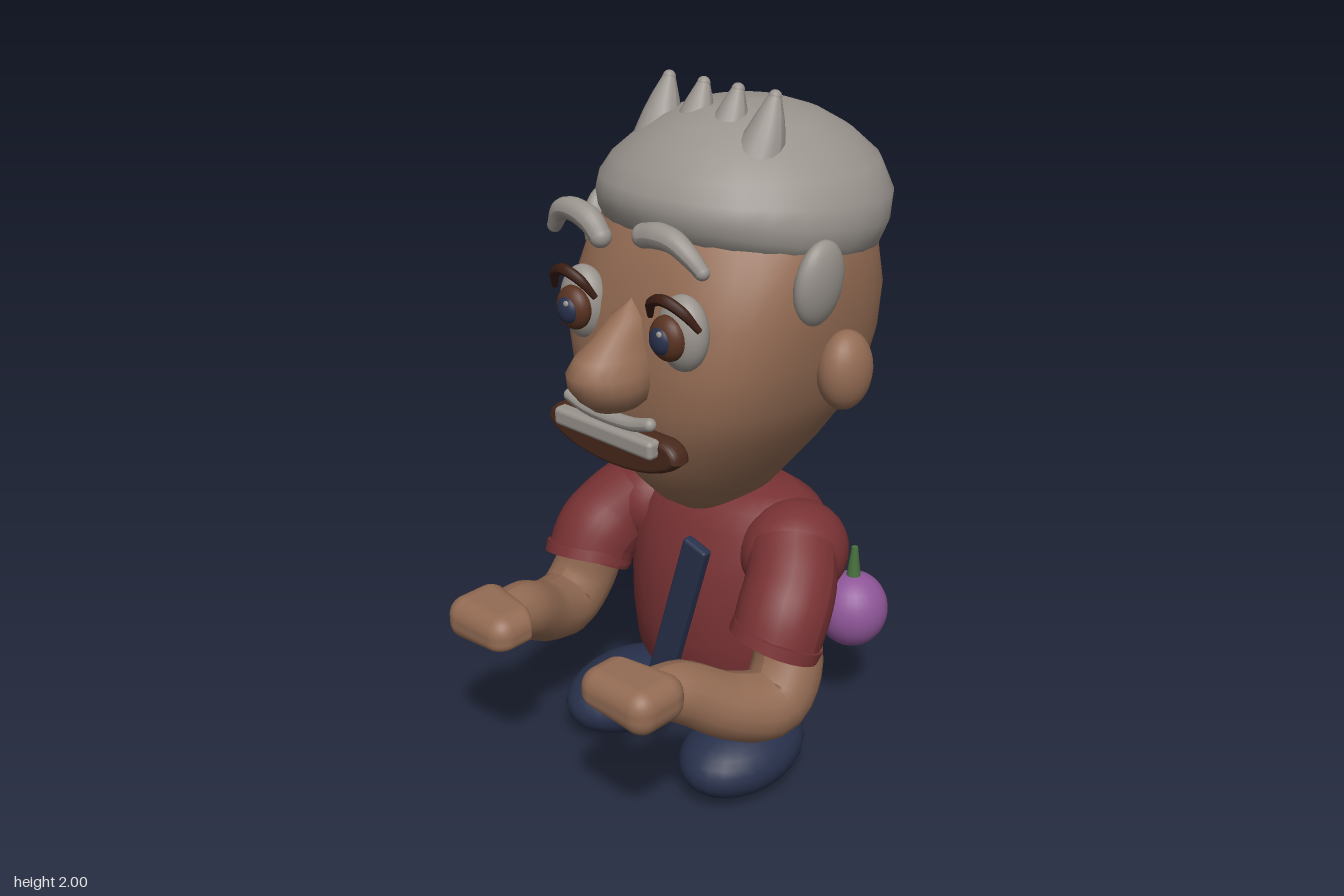
import * as THREE from 'three';
import { RoundedBoxGeometry } from 'three/addons/geometries/RoundedBoxGeometry.js';

const V = (x, y, z) => new THREE.Vector3(x, y, z);
const power = (v, e) => Math.sign(v) * Math.abs(v) ** e;

function material(name, color) {
  const m = new THREE.MeshStandardMaterial({ color });
  m.name = name;
  return m;
}

// Closed body from oval sections: [y, half width, front z, back z, tilt, squareness]
function loft(rows, seg = 28) {
  const pos = [], idx = [];
  rows.forEach(([y, w, zf, zb, tilt = 0, n = 2], r) => {
    for (let i = 0; i < seg; i++) {
      const a = (i / seg) * Math.PI * 2;
      const e = 2 / (a < Math.PI ? n : (n + 2) / 2);
      const dz = power(Math.sin(a), e) * (zf - zb) / 2;
      pos.push(power(Math.cos(a), e) * w, y + dz * tilt, (zf + zb) / 2 + dz);
      if (r === rows.length - 1) continue;
      const p = r * seg + i, q = r * seg + (i + 1) % seg;
      idx.push(p, p + seg, q, q, p + seg, q + seg);
    }
  });
  const g = new THREE.BufferGeometry();
  g.setAttribute('position', new THREE.Float32BufferAttribute(pos, 3));
  g.setIndex(idx);
  g.computeVertexNormals();
  return g;
}

// Tube whose radius follows a list of values
function taperTube(points, radii, sides = 16) {
  const n = 24, curve = new THREE.CatmullRomCurve3(points);
  const g = new THREE.TubeGeometry(curve, n, 1, sides);
  const p = g.attributes.position, v = V(0, 0, 0);
  for (let i = 0; i <= n; i++) {
    const c = curve.getPointAt(i / n), t = (i / n) * (radii.length - 1);
    const k = Math.min(Math.floor(t), radii.length - 2);
    const r = THREE.MathUtils.lerp(radii[k], radii[k + 1], t - k);
    for (let j = 0; j <= sides; j++) {
      const id = i * (sides + 1) + j;
      v.fromBufferAttribute(p, id).sub(c).multiplyScalar(r).add(c);
      p.setXYZ(id, v.x, v.y, v.z);
    }
  }
  g.computeVertexNormals();
  return g;
}

export function createModel() {
  const model = new THREE.Group();
  model.name = 'figure';
  const skin = material('skin', 0x936b53);
  const red = material('shirtRed', 0x793234);
  const blue = material('darkBlue', 0x28314c);
  const grey = material('hairGrey', 0x99938d);
  const brown = material('irisBrown', 0x583220);
  const lips = material('lipBrown', 0x48281c);
  const lash = material('lashBrown', 0x3a1c12);
  const purple = material('fruitPurple', 0x8f5698);
  const green = material('stemGreen', 0x48703e);

  const add = (name, geo, mat, x = 0, y = 0, z = 0) => {
    const m = new THREE.Mesh(geo, mat);
    m.name = name;
    m.position.set(x, y, z);
    model.add(m);
    return m;
  };
  const ball = (name, mat, x, y, z, rx, ry = rx, rz = rx) => {
    const m = add(name, new THREE.SphereGeometry(1, 24, 16), mat, x, y, z);
    m.scale.set(rx, ry, rz);
    return m;
  };
  // Tapered tube with rounded ends
  const roundTube = (name, mat, pts, radii) => {
    add(name, taperTube(pts, radii), mat);
    ball(name + 'End', mat, ...pts[0], radii[0]);
    ball(name + 'End', mat, ...pts.at(-1), radii.at(-1));
  };

  // Head, nose and hair cap
  add('head', loft([
    [0.797, 0, -0.08, -0.1], [0.815, 0.075, 0.025, -0.23], [0.865, 0.14, 0.1, -0.32],
    [0.93, 0.188, 0.16, -0.385, 0, 2.1], [1.0, 0.24, 0.203, -0.445, 0, 2.3], [1.1, 0.302, 0.243, -0.5, 0, 2.6],
    [1.2, 0.352, 0.264, -0.53, 0, 2.8], [1.32, 0.377, 0.262, -0.55, 0, 2.9], [1.45, 0.39, 0.24, -0.553, 0, 2.8],
    [1.56, 0.385, 0.205, -0.54, 0, 2.4], [1.64, 0.365, 0.165, -0.51, 0, 2.1], [1.7, 0.33, 0.11, -0.46],
    [1.8, 0, -0.15, -0.2],
  ], 36), skin);
  add('nose', loft([
    [1.2, 0, 0.32, 0.26], [1.212, 0.055, 0.365, 0.21], [1.24, 0.088, 0.4, 0.19],
    [1.28, 0.102, 0.432, 0.18], [1.32, 0.1, 0.44, 0.17], [1.36, 0.08, 0.418, 0.16],
    [1.4, 0.058, 0.36, 0.15], [1.45, 0.046, 0.295, 0.15], [1.49, 0, 0.23, 0.2],
  ], 20), skin);
  add('hairCap', loft([
    [1.575, 0, -0.14, -0.16, 0.2], [1.575, 0.36, 0.16, -0.47, 0.2, 2.1],
    [1.61, 0.39, 0.18, -0.545, 0.2, 2.1], [1.66, 0.4, 0.187, -0.59, 0.15, 2.1],
    [1.72, 0.393, 0.18, -0.612, 0.08, 2.1], [1.79, 0.352, 0.15, -0.58, 0.02, 2.1],
    [1.85, 0.285, 0.1, -0.51], [1.9, 0.21, 0.02, -0.42],
    [1.93, 0.125, -0.06, -0.33], [1.94, 0, -0.16, -0.2],
  ]), grey);

  // Four tufts on the crown
  for (const x of [-0.185, -0.06, 0.06, 0.185]) {
    add('hairTuft', taperTube([V(x * 0.92, 1.79, -0.045), V(x * 0.98, 1.89, -0.078), V(x, 1.983, -0.108)],
      [0.085, 0.07, 0.055, 0.038, 0.018]), grey);
    ball('hairTuftTip', grey, x, 1.983, -0.108, 0.018);
  }

  // Mouth, teeth and moustache
  const smile = new THREE.Shape();
  smile.moveTo(-0.185, 1.153);
  smile.lineTo(0.185, 1.153);
  smile.quadraticCurveTo(0.222, 1.145, 0.225, 1.12);
  smile.bezierCurveTo(0.15, 1.04, -0.15, 1.04, -0.225, 1.12);
  smile.quadraticCurveTo(-0.222, 1.145, -0.185, 1.153);
  add('mouth', new THREE.ExtrudeGeometry(smile, {
    depth: 0.012, bevelThickness: 0.026, bevelSize: 0.016, bevelSegments: 5, curveSegments: 12,
  }), lips, 0, 0, 0.285);
  add('teeth', new RoundedBoxGeometry(0.364, 0.052, 0.045, 3, 0.014), grey, 0, 1.146, 0.33);
  roundTube('moustache', grey, [V(-0.148, 1.205, 0.318), V(-0.08, 1.188, 0.318), V(0.08, 1.188, 0.318),
    V(0.148, 1.205, 0.318)], [0.018, 0.02, 0.018]);

  // Eyebrows, one arched and one slanting
  roundTube('eyebrow', grey, [V(-0.262, 1.637, 0.25), V(-0.22, 1.69, 0.26), V(-0.165, 1.698, 0.262),
    V(-0.11, 1.68, 0.262), V(-0.078, 1.645, 0.26)], [0.02, 0.027, 0.032, 0.034, 0.03]);
  roundTube('eyebrow', grey, [V(0.08, 1.68, 0.26), V(0.13, 1.69, 0.262), V(0.185, 1.685, 0.262),
    V(0.235, 1.655, 0.258), V(0.267, 1.622, 0.25)], [0.032, 0.034, 0.031, 0.026, 0.02]);

  // Body, strap and hanging fruit
  add('torso', loft([
    [0.09, 0, -0.16, -0.18], [0.1, 0.07, -0.1, -0.24], [0.14, 0.165, -0.02, -0.29],
    [0.2, 0.235, 0.035, -0.33], [0.3, 0.295, 0.08, -0.38], [0.42, 0.314, 0.092, -0.41],
    [0.55, 0.318, 0.085, -0.42, 0, 2.1], [0.66, 0.325, 0.06, -0.412, 0, 2.1], [0.76, 0.325, 0.02, -0.38, 0, 2.1],
    [0.82, 0.295, -0.02, -0.34], [0.855, 0.22, -0.07, -0.29], [0.865, 0, -0.16, -0.18],
  ]), red);
  add('strap', new RoundedBoxGeometry(0.085, 0.6, 0.034, 2, 0.01), blue, 0.085, 0.52, 0.16).rotation.z = -0.288;
  ball('fruit', purple, 0.245, 0.38, -0.452, 0.108, 0.118, 0.11);
  add('fruitStem', new THREE.CylinderGeometry(0.01, 0.024, 0.11, 10), green, 0.245, 0.535, -0.452);

  // Mirrored parts
  for (const s of [-1, 1]) {
    ball('ear', skin, s * 0.405, 1.29, -0.155, 0.068, 0.11, 0.085);
    ball('sideburn', grey, s * 0.383, 1.545, -0.06, 0.044, 0.118, 0.086).rotation.z = s * -0.12;

    // Eyes
    ball('eyeWhite', grey, s * 0.181, 1.438, 0.226, 0.076, 0.102, 0.056);
    ball('iris', brown, s * 0.172, 1.435, 0.272, 0.056, 0.061, 0.038);
    ball('pupil', blue, s * 0.17, 1.434, 0.296, 0.036, 0.038, 0.022);
    ball('eyeGlint', grey, s * 0.17 + 0.008, 1.455, 0.31, 0.009, 0.009, 0.006);
    add('eyelash', taperTube([V(s * 0.1, 1.475, 0.262), V(s * 0.13, 1.523, 0.288), V(s * 0.18, 1.543, 0.298),
      V(s * 0.23, 1.52, 0.283), V(s * 0.265, 1.47, 0.255)], [0.008, 0.014, 0.016, 0.014, 0.008], 10), lash);

    // Sleeve curving down to a rolled cuff
    ball('shoulder', red, s * 0.268, 0.71, -0.135, 0.15, 0.148, 0.165);
    add('sleeve', taperTube([V(s * 0.29, 0.735, -0.1), V(s * 0.34, 0.67, -0.035), V(s * 0.365, 0.61, 0.025),
      V(s * 0.37, 0.545, 0.06)], [0.125, 0.128, 0.13, 0.127], 24), red);
    const cuff = add('cuff', new THREE.CylinderGeometry(0.132, 0.132, 0.035, 24), red, s * 0.372, 0.55, 0.06);
    cuff.quaternion.setFromUnitVectors(V(0, -1, 0), V(s * -0.12, -0.92, 0.39).normalize());

    // Bent arm and fist
    add('arm', taperTube([V(s * 0.37, 0.6, 0.02), V(s * 0.405, 0.47, 0.05), V(s * 0.41, 0.395, 0.12),
      V(s * 0.37, 0.425, 0.25), V(s * 0.31, 0.51, 0.39), V(s * 0.285, 0.545, 0.53)],
    [0.09, 0.1, 0.1, 0.09, 0.083, 0.055]), skin);
    const fist = new RoundedBoxGeometry(0.25, 0.13, 0.19, 6, 0.055);
    const p = fist.attributes.position;
    for (let i = 0; i < p.count; i++) {
      const x = p.getX(i) * s, y = p.getY(i);
      if (y < 0) p.setY(i, y * (0.85 + x * 1.9));
      if (p.getZ(i) < 0 && x < 0) p.setZ(i, p.getZ(i) * (1 + x * 5));
    }
    add('fist', fist, skin, s * 0.27, 0.545, 0.515);

    ball('foot', blue, s * 0.23, 0.113, 0.032, 0.155, 0.112, 0.225).rotation.y = s * 0.08;
  }
  return model;
}
